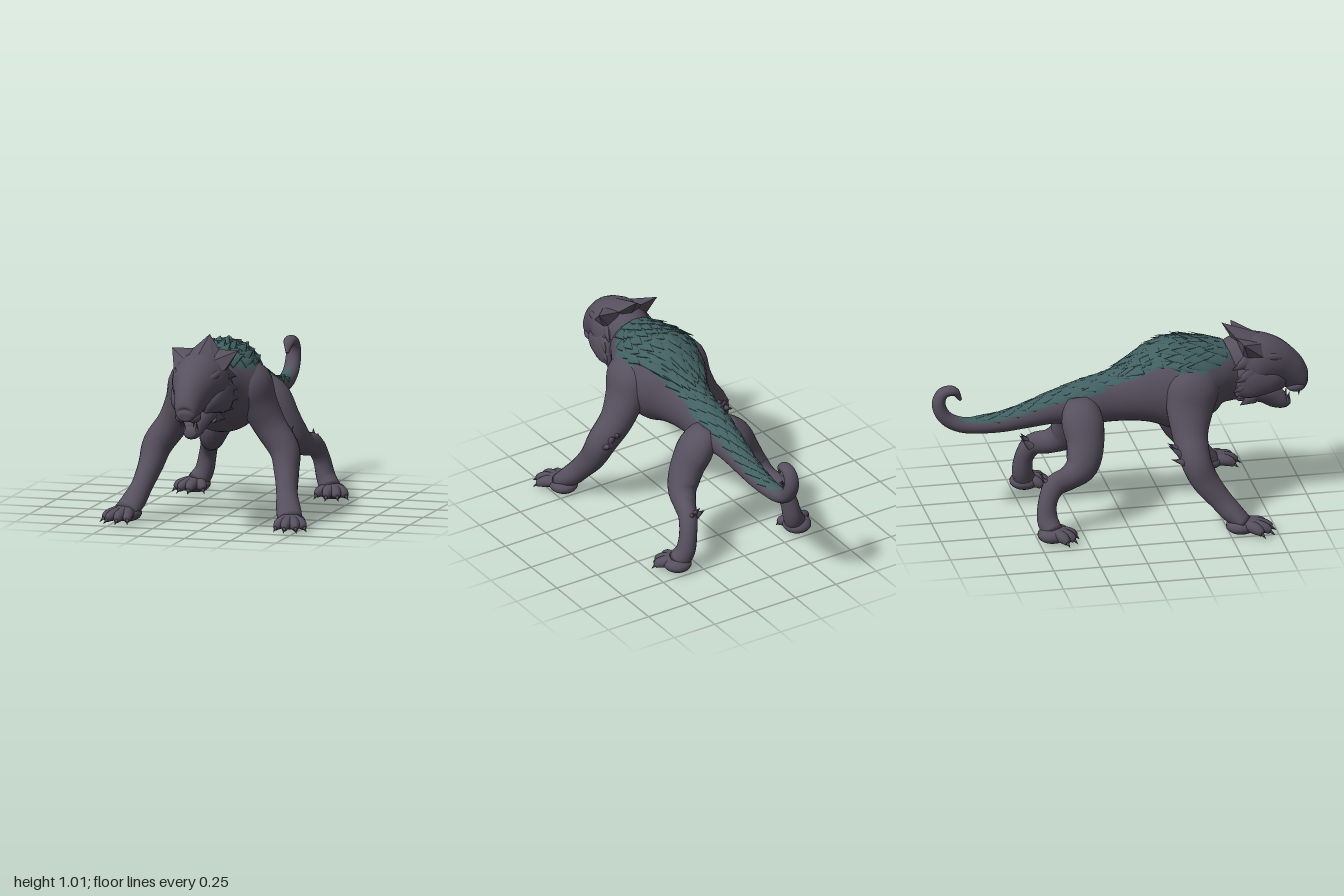
import * as THREE from 'three';
import { ConvexGeometry } from 'three/addons/geometries/ConvexGeometry.js';

const V = (x, y, z) => new THREE.Vector3(x, y, z);

// Stations are [x, y, z, side radius, up radius, half angle of the scaled back]
function makeLoft(stations) {
  const path = new THREE.CatmullRomCurve3(stations.map(s => V(s[0], s[1], s[2])), false, 'catmullrom');
  const size = new THREE.CatmullRomCurve3(stations.map(s => V(s[3], s[4], s[5] || 0)), false, 'catmullrom');
  const at = (u, a, k = 1) => {
    const t = path.getTangent(u), r = size.getPoint(u);
    const side = V(1, 0, 0).addScaledVector(t, -t.x).normalize();
    const up = t.clone().cross(side);
    return path.getPoint(u)
      .addScaledVector(side, Math.cos(a) * r.x * k)
      .addScaledVector(up, Math.sin(a) * r.y * k);
  };
  return { at, size, path, spans: stations.length - 1 };
}

function loftGeometry(loft, per = 4, seg = 20) {
  const rows = loft.spans * per, pos = [], skin = [], back = [];
  for (let i = 0; i <= rows; i++)
    for (let j = 0; j < seg; j++) pos.push(...loft.at(i / rows, j / seg * Math.PI * 2).toArray());
  pos.push(...loft.path.getPoint(0).toArray(), ...loft.path.getPoint(1).toArray());
  const first = (rows + 1) * seg, last = first + 1;
  for (let i = 0; i < rows; i++)
    for (let j = 0; j < seg; j++) {
      const k = (j + 1) % seg, a = i * seg + j, b = i * seg + k, c = a + seg, d = b + seg;
      const away = Math.abs((j + 0.5) / seg * Math.PI * 2 - Math.PI / 2);
      const limit = loft.size.getPoint((i + 0.5) / rows).z;
      (away < limit ? back : skin).push(a, b, c, b, d, c);
    }
  for (let j = 0; j < seg; j++) {
    const k = (j + 1) % seg;
    skin.push(first, k, j, last, rows * seg + j, rows * seg + k);
  }
  const g = new THREE.BufferGeometry();
  g.setAttribute('position', new THREE.Float32BufferAttribute(pos, 3));
  g.setIndex(skin.concat(back));
  g.addGroup(0, skin.length, 0);
  g.addGroup(skin.length, back.length, 1);
  g.computeVertexNormals();
  return g;
}

export function createModel() {
  const model = new THREE.Group();
  model.name = 'creature';
  const hide = new THREE.MeshStandardMaterial({ name: 'dark hide', color: 0x57505f });
  const scale = new THREE.MeshStandardMaterial({ name: 'teal scales', color: 0x426062 });

  const add = (name, geo, mat = hide, parent = model) => {
    const m = new THREE.Mesh(geo, mat);
    m.name = name;
    parent.add(m);
    return m;
  };
  const group = name => {
    const g = new THREE.Group();
    g.name = name;
    model.add(g);
    return g;
  };
  const limb = (name, pts, parent, s = 1, seg = 16) =>
    add(name, loftGeometry(makeLoft(pts.map(p => [p[0] * s, ...p.slice(1)])), 4, seg), hide, parent);
  // Cone between two points, flattened along the given normal
  const spike = (name, from, to, r, parent, mat = hide, normal = V(0.01, 1, 0.02), flat = 1) => {
    const dir = to.clone().sub(from), len = dir.length();
    dir.normalize();
    const x = dir.clone().cross(normal).normalize(), z = x.clone().cross(dir);
    const m = add(name, new THREE.ConeGeometry(r, len, 8), mat, parent);
    m.position.copy(from).addScaledVector(dir, len / 2);
    m.quaternion.setFromRotationMatrix(new THREE.Matrix4().makeBasis(x, dir, z));
    m.scale.z = flat;
  };
  const ball = (name, p, r, parent) => {
    const m = add(name, new THREE.SphereGeometry(1, 16, 12), hide, parent);
    m.position.set(...p);
    m.scale.set(...r);
  };

  // Body from the curled tail tip to the neck
  const body = makeLoft([
    [0, 0.69, -0.845, 0.008, 0.008], [0, 0.742, -0.88, 0.03, 0.024], [0, 0.735, -0.94, 0.036, 0.03],
    [0, 0.67, -0.962, 0.04, 0.036], [0, 0.59, -0.92, 0.042, 0.038], [0, 0.545, -0.82, 0.045, 0.042, 0.8],
    [0, 0.545, -0.65, 0.055, 0.052, 1.05], [0, 0.572, -0.5, 0.065, 0.066, 1.05],
    [0, 0.607, -0.35, 0.08, 0.088, 1.05], [0, 0.625, -0.2, 0.1, 0.12, 1], [0, 0.645, -0.05, 0.105, 0.138, 0.95],
    [0, 0.67, 0.08, 0.145, 0.172, 0.85], [0, 0.695, 0.2, 0.205, 0.232, 0.85], [0, 0.705, 0.32, 0.235, 0.245, 1.05],
    [0, 0.725, 0.43, 0.23, 0.215, 1.15], [0, 0.735, 0.52, 0.175, 0.18, 0.95],
    [0, 0.725, 0.6, 0.13, 0.15, 0.45], [0, 0.715, 0.67, 0.115, 0.135, 0.3],
  ]);
  add('body', loftGeometry(body, 5, 36), [hide, scale]);

  // Overlapping flat scales, swept backwards, larger over the shoulders
  const scales = group('backScales');
  for (let row = 0; row < 29; row++) {
    const st = 5.7 + row * 0.34, u = st / body.spans, lim = body.size.getPoint(u).z;
    const big = st > 11, n = big ? 5 : 3, shift = row % 2 ? 0.5 : 0;
    for (let i = 0; i < n; i++) {
      const a = Math.PI / 2 + ((i + shift + 0.25) / n * 2 - 1) * lim * 0.92;
      const wave = Math.sin(row * 2.3 + i * 1.7);
      const len = big ? 0.09 + 0.02 * wave : 0.065;
      const from = body.at(u, a, 0.975);
      const normal = from.clone().sub(body.path.getPoint(u));
      const to = body.at(Math.max(0, u - len / (big ? 1.85 : 2.5)), a, big ? 1.06 + 0.03 * wave : 1.06);
      spike('backScale', from, to, big ? 0.036 : 0.022, scales, scale, normal, 0.25);
    }
  }

  // Head
  const head = group('head');
  limb('skull', [
    [0, 0.75, 0.57, 0.1, 0.12], [0, 0.78, 0.64, 0.135, 0.155], [0, 0.785, 0.72, 0.15, 0.155],
    [0, 0.77, 0.8, 0.128, 0.138], [0, 0.73, 0.88, 0.094, 0.11], [0, 0.685, 0.94, 0.072, 0.08],
    [0, 0.655, 0.98, 0.055, 0.048], [0, 0.65, 0.998, 0.03, 0.02],
  ], head, 1, 24);
  ball('nose', [0, 0.665, 0.95], [0.064, 0.045, 0.046], head);
  limb('lowerJaw', [
    [0, 0.64, 0.64, 0.1, 0.07], [0, 0.61, 0.76, 0.08, 0.06], [0, 0.568, 0.83, 0.06, 0.056],
    [0, 0.545, 0.875, 0.047, 0.04], [0, 0.548, 0.908, 0.028, 0.022],
  ], head);
  // Crest: central peak with a swept horn at each side
  add('crestPeak', new ConvexGeometry([
    V(0, 1.012, 0.545), V(0, 0.97, 0.66), V(0, 0.925, 0.78), V(0, 0.88, 0.62),
    V(0.07, 0.945, 0.61), V(-0.07, 0.945, 0.61), V(0.075, 0.9, 0.76), V(-0.075, 0.9, 0.76),
  ]), hide, head);
  for (const s of [1, -1]) {
    add('crestHorn', new ConvexGeometry([
      V(0.18 * s, 0.946, 0.63), V(0.07 * s, 0.945, 0.61), V(0.09 * s, 0.925, 0.7), V(0.138 * s, 0.855, 0.74),
      V(0.06 * s, 0.9, 0.77), V(0.1 * s, 0.84, 0.64), V(0.138 * s, 0.86, 0.66), V(0.05 * s, 0.88, 0.64),
    ]), hide, head);
    limb('browRidge', [
      [0.025, 0.775, 0.915, 0.014, 0.012], [0.065, 0.812, 0.865, 0.022, 0.018],
      [0.103, 0.84, 0.79, 0.024, 0.022], [0.112, 0.85, 0.7, 0.014, 0.014],
    ], head, s, 10);
    ball('upperLip', [0.034 * s, 0.635, 0.935], [0.034, 0.03, 0.05], head);
    limb('cheek', [
      [0.07, 0.67, 0.86, 0.02, 0.03], [0.105, 0.695, 0.79, 0.032, 0.06],
      [0.125, 0.71, 0.69, 0.035, 0.085], [0.125, 0.72, 0.6, 0.025, 0.08],
    ], head, s, 12);
    for (const [y, z, l, w] of [[0.83, 0.66, 0.09, 0.15], [0.765, 0.68, 0.1, 0.165],
      [0.71, 0.67, 0.1, 0.162], [0.66, 0.68, 0.09, 0.14], [0.61, 0.7, 0.08, 0.105]])
      spike('cheekTuft', V((w - 0.035) * s, y, z), V((w + 0.003) * s, y - 0.03, z - l), 0.042, head, hide, V(s, 0, 0), 0.5);
    spike('upperFang', V(0.036 * s, 0.62, 0.95), V(0.034 * s, 0.58, 0.95), 0.009, head);
    spike('lowerFang', V(0.034 * s, 0.555, 0.89), V(0.036 * s, 0.61, 0.9), 0.009, head);
  }

  // Feet: a pad with toes fanning out to hooked claws
  const foot = (name, parent, s, base, tips) => {
    const [bx, by, bz] = base;
    ball(name + 'Pad', [bx * s, by - 0.004, bz], [0.076, 0.044, 0.08], parent);
    for (const [x, z] of tips) {
      const mix = (k, y) => [bx + (x - bx) * k, y, bz + (z - bz) * k];
      limb(name + 'Toe', [
        [...mix(0, 0.055), 0.04, 0.036], [...mix(0.4, 0.054), 0.036, 0.032],
        [...mix(0.7, 0.045), 0.028, 0.028], [...mix(0.88, 0.03), 0.015, 0.017],
      ], parent, s, 10);
      const [ax, ay, az] = mix(0.78, 0.042), [cx, cy, cz] = mix(1.03, 0.008);
      spike(name + 'Claw', V(ax * s, ay, az), V(cx * s, cy, cz), 0.015, parent);
    }
  };

  for (const s of [1, -1]) {
    const side = s > 0 ? 'left' : 'right';

    // Front leg
    const front = group(side + 'FrontLeg');
    limb('frontLeg', [
      [0.11, 0.83, 0.37, 0.05, 0.08], [0.16, 0.74, 0.355, 0.108, 0.145], [0.205, 0.62, 0.335, 0.095, 0.125],
      [0.265, 0.5, 0.325, 0.085, 0.095], [0.345, 0.385, 0.34, 0.08, 0.08], [0.37, 0.28, 0.385, 0.066, 0.072],
      [0.395, 0.18, 0.46, 0.056, 0.06], [0.42, 0.11, 0.52, 0.064, 0.056], [0.448, 0.06, 0.58, 0.066, 0.04],
    ], front, s, 20);
    foot('frontFoot', front, s, [0.445, 0.05, 0.56], [[0.562, 0.665], [0.525, 0.722], [0.46, 0.74], [0.4, 0.715]]);
    for (const [x, y, z, h] of [[0.31, 0.44, 0.27, 0.05], [0.34, 0.42, 0.27, 0.07], [0.365, 0.39, 0.28, 0.03]])
      spike('elbowSpur', V(x * s, y, z), V((x + 0.01) * s, y + h, z - 0.08), 0.022, front);

    // Hind leg
    const hind = group(side + 'HindLeg');
    limb('hindLeg', [
      [0.05, 0.66, -0.22, 0.05, 0.08], [0.115, 0.57, -0.22, 0.085, 0.11], [0.17, 0.46, -0.215, 0.085, 0.1],
      [0.22, 0.36, -0.245, 0.075, 0.09], [0.25, 0.31, -0.315, 0.06, 0.066], [0.285, 0.285, -0.4, 0.048, 0.06],
      [0.31, 0.21, -0.443, 0.046, 0.05], [0.33, 0.12, -0.45, 0.05, 0.055], [0.36, 0.06, -0.43, 0.058, 0.055],
    ], hind, s, 20);
    foot('hindFoot', hind, s, [0.37, 0.05, -0.43], [[0.48, -0.36], [0.44, -0.31], [0.375, -0.29], [0.3, -0.34]]);
    for (const [x, h] of [[0.25, 0.04], [0.275, 0.065], [0.3, 0.04]])
      spike('hockSpur', V(x * s, 0.29, -0.42), V((x - 0.02) * s, 0.3 + h, -0.475), 0.024, hind);
  }
  return model;
}
